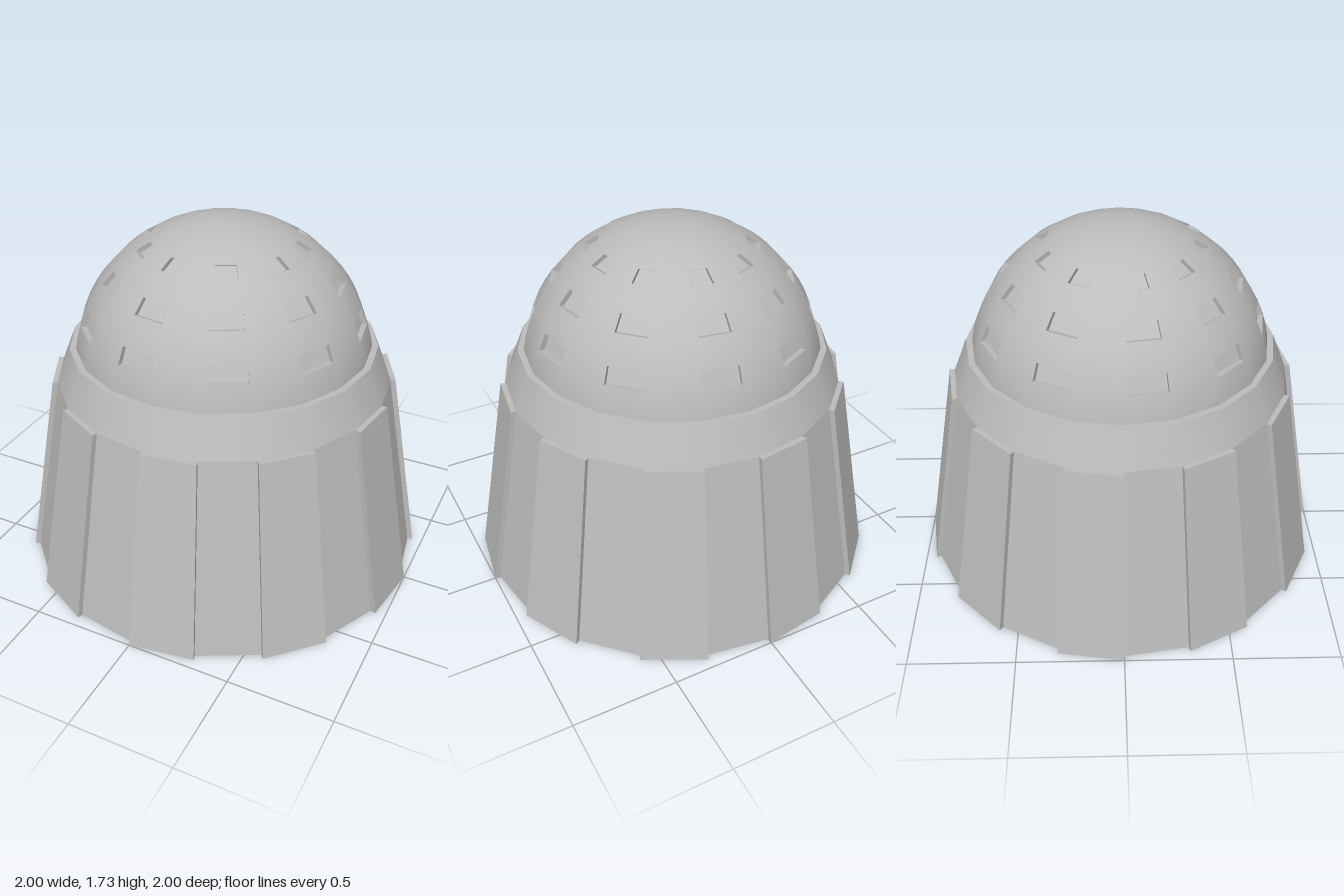
import * as THREE from 'three';

const SIDES = 20;
const STEP = (Math.PI * 2) / SIDES;
const BODY_TOP = 0.955, COLLAR_TOP = 1.13;
const DOME_R = 0.715, DOME_Y = 1.015;

// Point at angle t around the axis (t = 0 is the front, growing towards +x)
const polar = (t, r, y) => new THREE.Vector3(r * Math.sin(t), y, r * Math.cos(t));

// Collects quads; normals are flat unless a normal rule is given
class Quads {
  constructor() { this.pos = []; this.nor = []; }
  tri(a, b, c, rule) {
    const flat = b.clone().sub(a).cross(c.clone().sub(a)).normalize();
    for (const p of [a, b, c]) {
      this.pos.push(p.x, p.y, p.z);
      const n = rule ? rule(p) : flat;
      this.nor.push(n.x, n.y, n.z);
    }
  }
  quad(a, b, c, d, rule) {
    this.tri(a, b, c, rule);
    if (c.distanceTo(d) > 1e-6) this.tri(a, c, d, rule);
  }
  mesh(name, material) {
    const g = new THREE.BufferGeometry();
    g.setAttribute('position', new THREE.Float32BufferAttribute(this.pos, 3));
    g.setAttribute('normal', new THREE.Float32BufferAttribute(this.nor, 3));
    const m = new THREE.Mesh(g, material);
    m.name = name;
    return m;
  }
}

export function createModel() {
  const model = new THREE.Group();
  model.name = 'domedTower';
  const grey = new THREE.MeshStandardMaterial({ color: 0xbcbcbc });
  grey.name = 'grey';

  // Tapered wall of alternating raised and lower panels, closed underneath
  const low = [0.975, 0.805], high = [1, 0.83];
  const raised = new Quads(), lower = new Quads(), base = new Quads();
  for (let k = 0; k < SIDES; k++) {
    const t0 = k * STEP, t1 = t0 + STEP, up = k % 2 === 0;
    const [rb, rt] = up ? high : low;
    const part = up ? raised : lower;
    const b0 = polar(t0, rb, 0), b1 = polar(t1, rb, 0);
    const c0 = polar(t0, rt, BODY_TOP), c1 = polar(t1, rt, BODY_TOP);
    part.quad(b0, b1, c1, c0);
    base.tri(new THREE.Vector3(), b1, b0);
    if (!up) continue;
    const ib0 = polar(t0, low[0], 0), ib1 = polar(t1, low[0], 0);
    const ic0 = polar(t0, low[1], BODY_TOP), ic1 = polar(t1, low[1], BODY_TOP);
    part.quad(c0, c1, ic1, ic0);
    part.quad(b1, ib1, ic1, c1);
    part.quad(ib0, b0, c0, ic0);
  }
  model.add(raised.mesh('raisedPanels', grey), lower.mesh('lowerPanels', grey), base.mesh('base', grey));

  // Sloping collar with a narrow flat ledge
  const collarH = COLLAR_TOP - BODY_TOP;
  const collar = new THREE.Mesh(new THREE.CylinderGeometry(0.735, low[1], collarH, SIDES, 1, true), grey);
  collar.position.y = BODY_TOP + collarH / 2;
  collar.name = 'collar';
  const ledge = new THREE.Mesh(new THREE.RingGeometry(0.7, 0.735, SIDES, 1), grey);
  ledge.rotation.x = -Math.PI / 2;
  ledge.position.y = COLLAR_TOP;
  ledge.name = 'collarLedge';
  model.add(collar, ledge);

  // Dome, left open where the windows are sunk in
  const levels = [1.13, 1.19, 1.25, 1.33, 1.39, 1.45, 1.515, 1.56, 1.605, 1.645, 1.675, 1.7, 1.72, 1.727, 1.73];
  const windowTilt = { 1.25: 0.1, 1.45: 0.3, 1.605: 0.5 };
  const margin = 0.07, depth = 0.025;
  const centre = new THREE.Vector3(0, DOME_Y, 0);
  const round = (p) => p.clone().sub(centre).normalize();
  const radius = (y) => Math.sqrt(Math.max(0, DOME_R ** 2 - (y - DOME_Y) ** 2));
  const dome = new Quads(), recess = new Quads();
  for (let k = 0; k < SIDES; k++) {
    const t0 = k * STEP, t1 = t0 + STEP, mid = t0 + STEP / 2;
    const at = (u, y) => polar(t0, radius(y), y).lerp(polar(t1, radius(y), y), u);
    for (let i = 0; i < levels.length - 1; i++) {
      const y0 = levels[i], y1 = levels[i + 1];
      const patch = (u0, u1) => [at(u0, y0), at(u1, y0), at(u1, y1), at(u0, y1)];
      const tilt = windowTilt[y0];
      if (k % 2 === 0 || tilt === undefined) {
        dome.quad(...patch(0, 1), round);
        continue;
      }
      dome.quad(...patch(0, margin), round);
      dome.quad(...patch(1 - margin, 1), round);
      // Sunken window: four walls and a floor
      const rim = patch(margin, 1 - margin);
      const inward = polar(mid, Math.cos(tilt), Math.sin(tilt)).multiplyScalar(-depth);
      const floor = rim.map((p) => p.clone().add(inward));
      recess.quad(...floor);
      for (let e = 0; e < 4; e++) {
        const f = (e + 1) % 4;
        recess.quad(rim[e], rim[f], floor[f], floor[e]);
      }
    }
  }
  model.add(dome.mesh('dome', grey), recess.mesh('windowRecesses', grey));
  return model;
}
